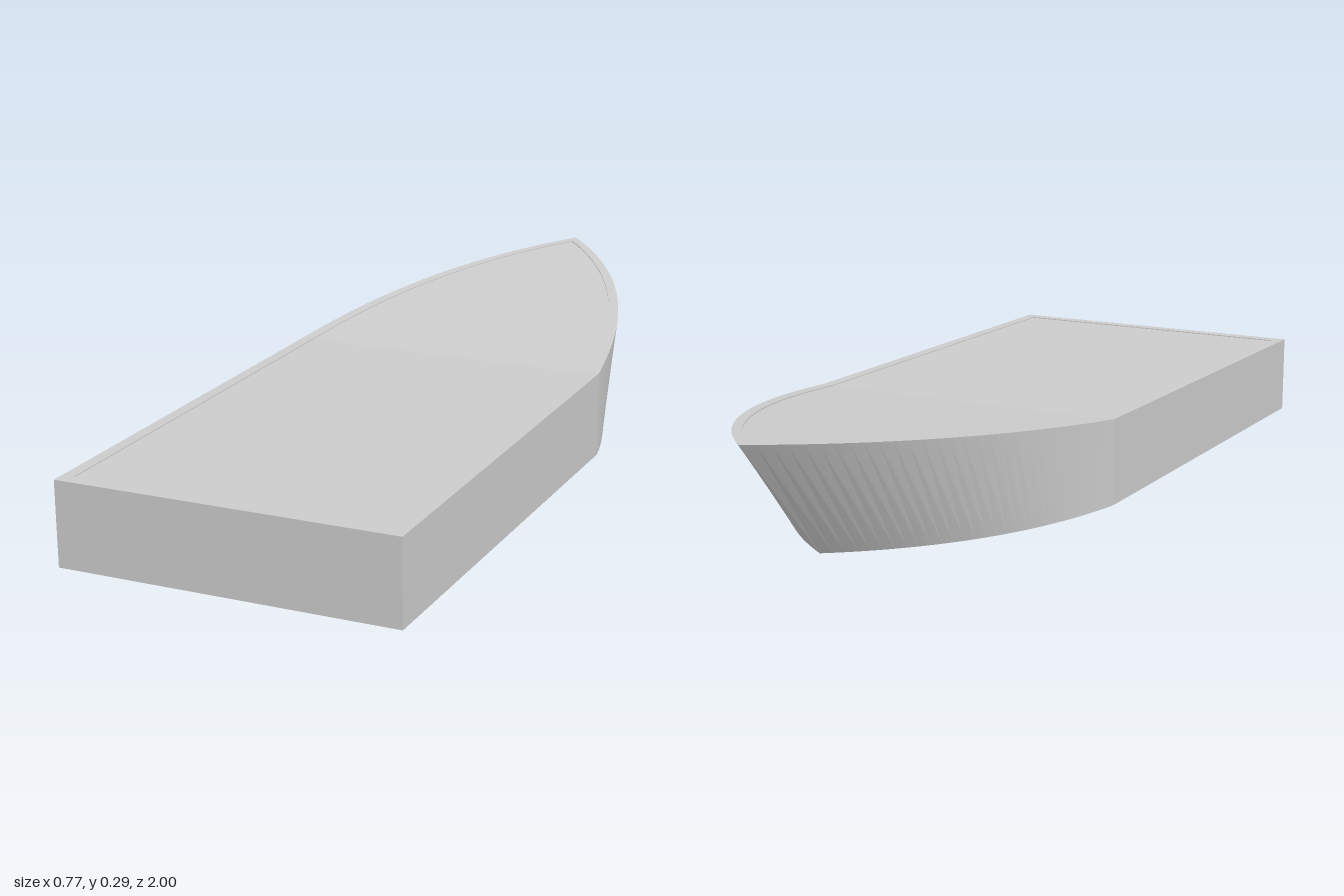
import * as THREE from 'three';
import { toCreasedNormals } from 'three/addons/utils/BufferGeometryUtils.js';

const HALF = 0.385, KNUCKLE = -0.1;

// Deck height: nearly level aft, rising straight to the bow
const deckY = z => z > KNUCKLE
  ? 0.2 - 0.01 * (z - KNUCKLE) / 1.1
  : 0.2 + 0.095 * (KNUCKLE - z) / 0.9;

// Keel outline is the deck outline shortened ahead of the knuckle, giving a raked stem
const keelZ = z => z > KNUCKLE ? z : KNUCKLE + (z - KNUCKLE) * 0.62 / 0.9;

// Closed outline: stern, along the left side to the bow, back along the right side
function outline() {
  const bow = new THREE.QuadraticBezierCurve(
    new THREE.Vector2(HALF, KNUCKLE), new THREE.Vector2(0.31, -0.68), new THREE.Vector2(0, -1));
  const left = [new THREE.Vector2(HALF, 1), ...bow.getPoints(28)];
  const right = left.slice(0, -1).reverse().map(p => new THREE.Vector2(-p.x, p.y));
  return [...left, ...right];
}

// Skin between successive rings
function loft(rings) {
  const quads = [];
  for (let r = 0; r < rings.length - 1; r++) {
    const lo = rings[r], hi = rings[r + 1], n = lo.length;
    for (let i = 0; i < n; i++) {
      const j = (i + 1) % n;
      quads.push([lo[i], lo[j], hi[j], hi[i]]);
    }
  }
  return quads;
}

// Flat cap made of strips from side to side
function cap(ring, flip) {
  const quads = [], n = ring.length;
  for (let i = 0; i < (n - 1) / 2; i++) {
    const q = [ring[i], ring[i + 1], ring[n - 2 - i], ring[n - 1 - i]];
    quads.push(flip ? q.reverse() : q);
  }
  return quads;
}

function makeMesh(name, quads) {
  const pts = [];
  const tri = (a, b, c) => {
    if (new THREE.Triangle(a, b, c).getArea() > 1e-9) pts.push(a, b, c);
  };
  for (const [a, b, c, d] of quads) {
    tri(a, b, c);
    tri(a, c, d);
  }
  const geometry = toCreasedNormals(new THREE.BufferGeometry().setFromPoints(pts), 0.08);
  const mesh = new THREE.Mesh(geometry, new THREE.MeshStandardMaterial({ color: 0xcccccc }));
  mesh.name = name;
  return mesh;
}

export function createModel() {
  const group = new THREE.Group();
  group.name = 'boatHull';

  const line = outline();
  const keel = line.map(p => new THREE.Vector3(p.x, 0, keelZ(p.y)));
  const sheer = line.map(p => new THREE.Vector3(p.x, deckY(p.y), p.y));
  // Narrow rim with the deck panel set very slightly below it
  const inset = drop => line.map(p => {
    const z = p.y * 0.97;
    return new THREE.Vector3(p.x * 0.93, deckY(z) - drop, z);
  });
  const rimInner = inset(0), deckEdge = inset(0.002);

  group.add(makeMesh('hullSides', loft([keel, sheer])));
  group.add(makeMesh('hullBottom', cap(keel, true)));
  group.add(makeMesh('deckRim', loft([sheer, rimInner, deckEdge])));
  group.add(makeMesh('deck', cap(deckEdge, false)));
  return group;
}
